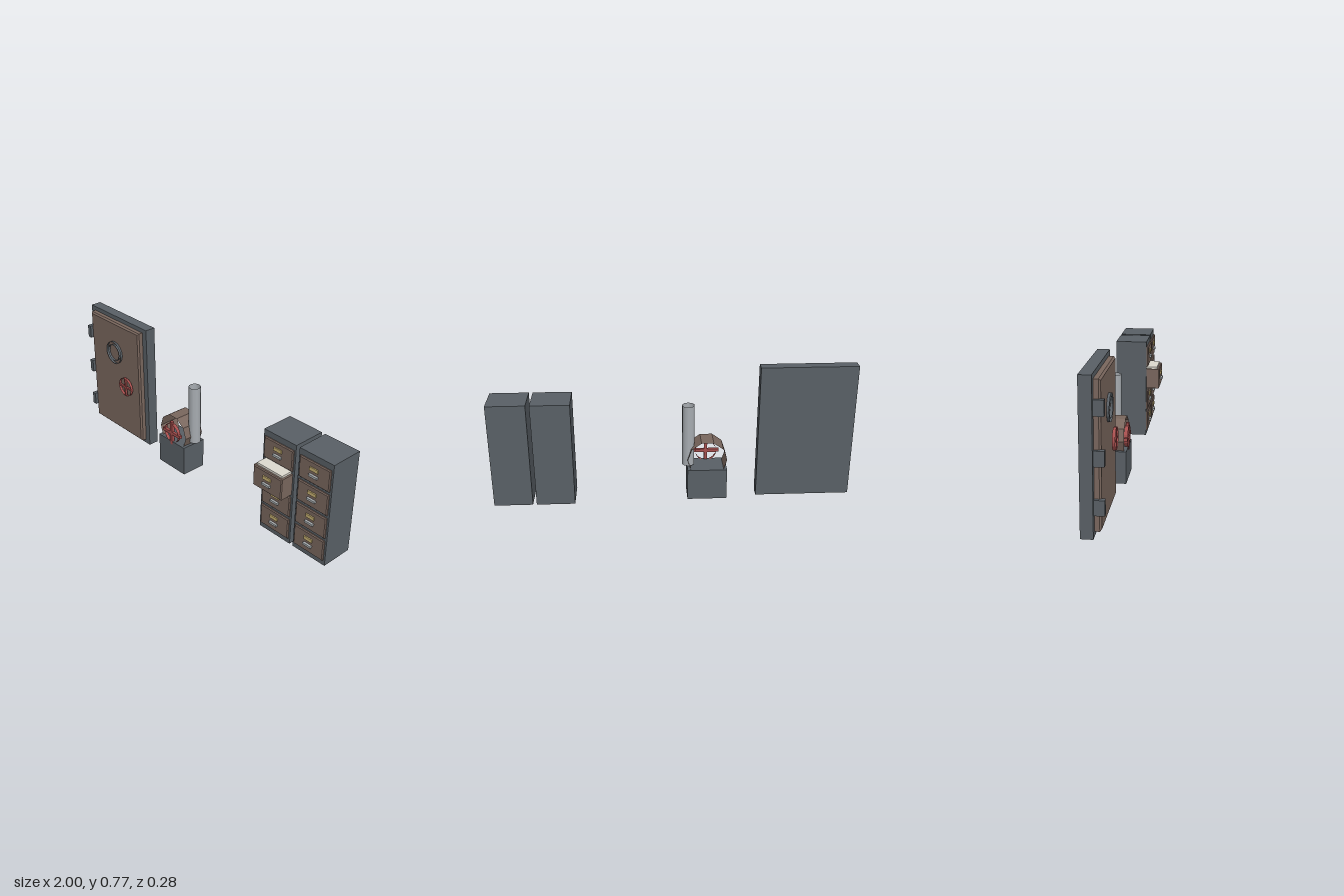
import * as THREE from 'three';

const mat = (color, extra = {}) => new THREE.MeshStandardMaterial({ color, ...extra });
const thin = { side: THREE.DoubleSide, flatShading: true };
const steel = mat(0x596066), brown = mat(0x7a675e), red = mat(0xa8504f);
const gold = mat(0xc8b273), silver = mat(0xa9aeb0), paper = mat(0xdedad0);
const steelThin = mat(0x596066, thin), brownThin = mat(0x7a675e, thin), redThin = mat(0xa8504f, thin);
const pipeMat = mat(0xa8adb2, { side: THREE.DoubleSide });

function add(parent, name, geometry, material) {
  const mesh = new THREE.Mesh(geometry, material);
  mesh.name = name;
  parent.add(mesh);
  return mesh;
}

function group(parent, name) {
  const g = new THREE.Group();
  g.name = name;
  parent.add(g);
  return g;
}

// Box given by its limits on each axis
function box(parent, name, material, [x0, x1], [y0, y1], [z0, z1]) {
  const geometry = new THREE.BoxGeometry(x1 - x0, y1 - y0, z1 - z0);
  geometry.translate((x0 + x1) / 2, (y0 + y1) / 2, (z0 + z1) / 2);
  return add(parent, name, geometry, material);
}

// Panel with chamfered front edges; its back chamfer sinks into the body behind
function panel(parent, name, material, [x0, x1], [y0, y1], [z0, z1], b) {
  const s = new THREE.Shape();
  s.moveTo(x0 + b, y0 + b);
  s.lineTo(x1 - b, y0 + b);
  s.lineTo(x1 - b, y1 - b);
  s.lineTo(x0 + b, y1 - b);
  s.closePath();
  const geometry = new THREE.ExtrudeGeometry(s, {
    depth: z1 - z0 - b, bevelSize: b, bevelThickness: b, bevelSegments: 1,
  });
  geometry.translate(0, 0, z0);
  return add(parent, name, geometry, material);
}

// Open tube along z
function ring(parent, name, material, x, y, z0, z1, r, sides) {
  const geometry = new THREE.CylinderGeometry(r, r, z1 - z0, sides, 1, true, Math.PI / 2);
  geometry.rotateX(Math.PI / 2);
  geometry.translate(x, y, (z0 + z1) / 2);
  return add(parent, name, geometry, material);
}

// Hand wheel: two crossed spokes in an open rim
function wheel(parent, name, x, y, z0, z1, half, w) {
  const g = group(parent, name);
  box(g, 'spokeAcross', red, [x - half, x + half], [y - w, y + w], [z0, z1]);
  box(g, 'spokeUpright', red, [x - w, x + w], [y - half, y + half], [z0, z1]);
  ring(g, 'rim', redThin, x, y, z0 - 0.004, z1, Math.min(half, 0.06), 16);
}

function buildDoor(root) {
  const door = group(root, 'vaultDoor');
  box(door, 'doorFrame', steel, [-1, -0.47], [0, 0.77], [-0.087, -0.025]);
  panel(door, 'doorPanel', brown, [-0.965, -0.505], [0.025, 0.745], [-0.025, 0.008], 0.009);
  for (const y of [0.147, 0.382, 0.617])
    box(door, 'hinge', steel, [-0.982, -0.955], [y - 0.038, y + 0.038], [-0.03, 0.026]);
  ring(door, 'portholeOuter', steelThin, -0.735, 0.552, 0.006, 0.021, 0.07, 16);
  ring(door, 'portholeInner', steelThin, -0.735, 0.552, 0.006, 0.021, 0.052, 16);
  wheel(door, 'doorWheel', -0.625, 0.362, 0.018, 0.03, 0.058, 0.005);
}

function buildPump(root) {
  const pump = group(root, 'pump');
  box(pump, 'pumpBase', steel, [-0.3, -0.08], [0, 0.18], [-0.118, 0.033]);
  ring(pump, 'pumpDrum', brownThin, -0.19, 0.235, -0.106, 0.02, 0.11, 10);
  wheel(pump, 'pumpWheel', -0.19, 0.235, 0.018, 0.035, 0.075, 0.009);
  const pipe = new THREE.CylinderGeometry(0.035, 0.035, 0.355, 10, 1, true);
  pipe.translate(-0.085, 0.373, -0.055);
  add(pump, 'pipe', pipe, pipeMat);
}

function buildCabinet(root, cx, openRow) {
  const cabinet = group(root, 'filingCabinet');
  box(cabinet, 'cabinetBody', steel, [cx - 0.107, cx + 0.107], [0, 0.6], [-0.14, 0.047]);
  for (let row = 0; row < 4; row++) {
    const drawer = group(cabinet, 'drawer');
    const y = 0.09 + row * 0.1383;
    const front = row === openRow ? 0.127 : 0.057;
    const xs = [cx - 0.097, cx + 0.097], ys = [y - 0.061, y + 0.061];
    panel(drawer, 'drawerFront', brown, xs, ys, [row === openRow ? 0.04 : 0.045, front], 0.005);
    box(drawer, 'labelHolder', gold, [cx - 0.026, cx + 0.026], [y + 0.013, y + 0.032], [front - 0.002, front + 0.007]);
    box(drawer, 'handle', silver, [cx - 0.026, cx + 0.026], [y - 0.019, y - 0.007], [front - 0.002, front + 0.013]);
    if (row === openRow)
      box(drawer, 'papers', paper, [cx - 0.086, cx + 0.086], [y + 0.04, y + 0.073], [0.04, 0.113]);
  }
}

export function createModel() {
  const root = new THREE.Group();
  root.name = 'vaultRoomProps';
  buildDoor(root);
  buildPump(root);
  buildCabinet(root, 0.658, 2);
  buildCabinet(root, 0.893, -1);
  return root;
}
